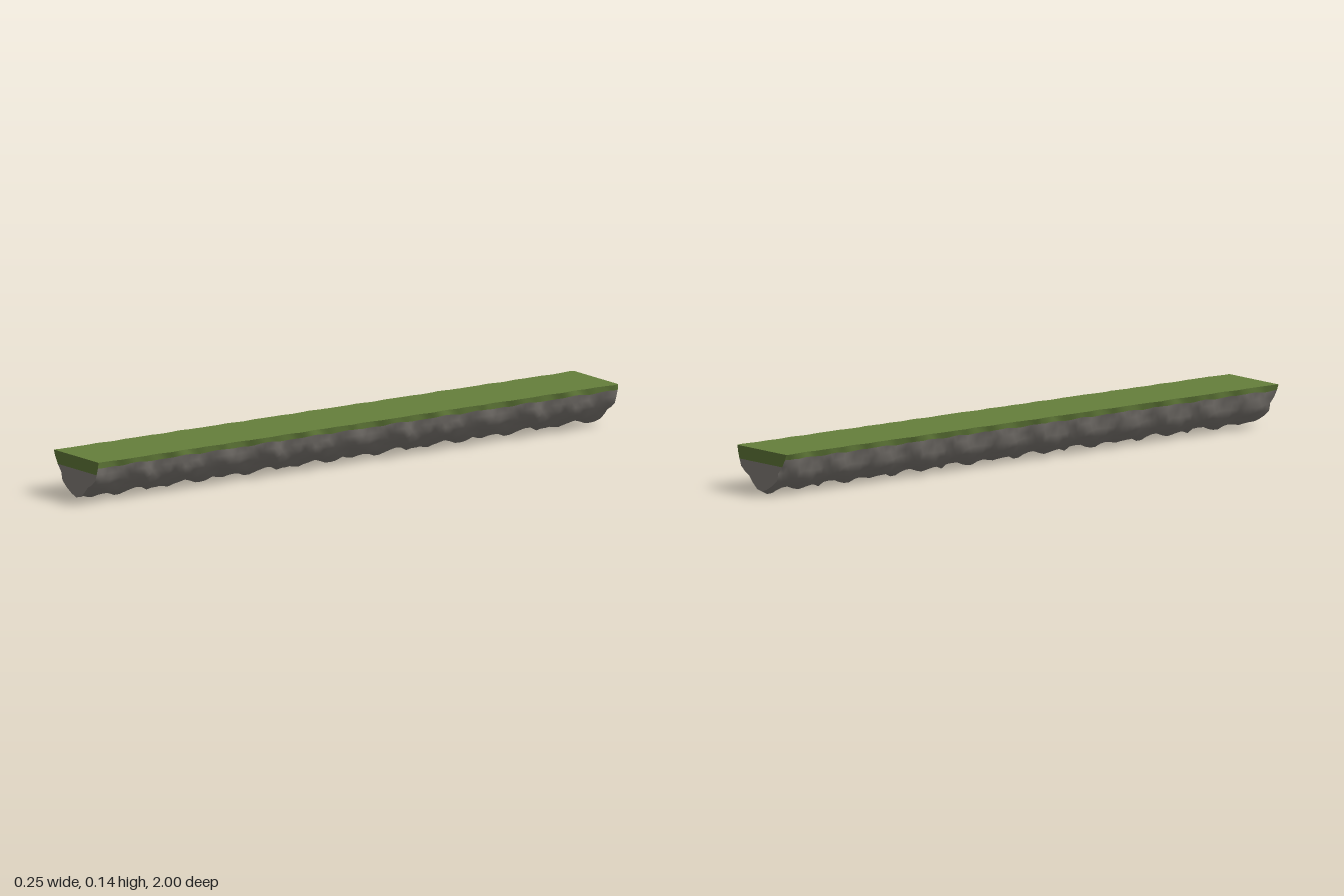
import * as THREE from 'three';

const PERIOD = 24, REPEATS = 4, COLS = PERIOD * REPEATS;
const TOP = 0.145;

// Mean cross-section, from the +x top edge under the keel to the -x top edge
const PROFILE = [
  [0.117, TOP], [0.112, 0.126], [0.101, 0.103], [0.091, 0.083], [0.078, 0.066],
  [0.06, 0.05], [0.04, 0.036], [0.018, 0.02], [-0.006, 0.01], [-0.03, 0.023],
  [-0.056, 0.037], [-0.08, 0.055], [-0.093, 0.077], [-0.107, 0.103], [-0.118, 0.126], [-0.124, TOP],
];
const LAST = PROFILE.length - 1;

// Repeatable value in -1..1
function hash(i, j) {
  const s = Math.sin(i * 127.1 + j * 311.7) * 43758.5453;
  return (s - Math.floor(s)) * 2 - 1;
}

// Rocky bumps that repeat along the strip
function bump(i, j) {
  const k = j % PERIOD, t = (k / PERIOD) * Math.PI * 2;
  const broad = Math.sin(3 * t + i * 0.9) * 0.3 + Math.sin(5 * t - i * 1.7) * 0.3;
  return broad + hash(i, k) * 0.25 + hash(i + 40, Math.floor(k / 2)) * 0.15;
}

function point(i, j) {
  const [x, y] = PROFILE[i];
  const n = bump(i, j), z = -1 + (2 * j) / COLS;
  const edge = Math.min(i, LAST - i);
  if (edge === 0) return [x + Math.sign(x) * n * 0.006, y, z];
  if (edge === 1) return [x + Math.sign(x) * n * 0.005, y + n * 0.005, z];
  if (edge === 2) return [x + Math.sign(x) * n * 0.006, y, z];
  const dx = x, dy = y - 0.12, len = Math.hypot(dx, dy);
  const amp = i === 8 ? 0.015 : 0.011;
  return [x + (dx / len) * n * amp, Math.max(0, y + (dy / len) * n * amp), z];
}

// Smooth skin running the full length through the listed profile rows
function skin(rows) {
  const pos = [], index = [], w = rows.length;
  for (let j = 0; j <= COLS; j++) {
    for (const i of rows) pos.push(...point(i, j));
  }
  for (let j = 0; j < COLS; j++) {
    for (let i = 0; i < w - 1; i++) {
      const a = j * w + i, b = a + 1, c = a + w, d = c + 1;
      index.push(a, c, b, b, c, d);
    }
  }
  const g = new THREE.BufferGeometry();
  g.setAttribute('position', new THREE.Float32BufferAttribute(pos, 3));
  g.setIndex(index);
  g.computeVertexNormals();
  return g;
}

// Flat end face through the listed profile rows
function cap(rows, front) {
  const j = front ? COLS : 0;
  const pts = rows.map((i) => new THREE.Vector2(point(i, j)[0], point(i, j)[1]));
  const g = new THREE.ShapeGeometry(new THREE.Shape(pts));
  if (!front) {
    g.setIndex(Array.from(g.index.array).reverse());
    g.computeVertexNormals();
  }
  return g.translate(0, 0, front ? 1 : -1);
}

export function createModel() {
  const grass = new THREE.MeshStandardMaterial({ color: 0x66803c });
  grass.name = 'grass green';
  const rock = new THREE.MeshStandardMaterial({ color: 0x8a857f });
  rock.name = 'rock grey';

  const model = new THREE.Group();
  model.name = 'floatingGroundStrip';
  const add = (name, geometry, material) => {
    const mesh = new THREE.Mesh(geometry, material);
    mesh.name = name;
    model.add(mesh);
  };

  // Grass surface and the thin lips hanging over both sides
  add('grassTop', skin([LAST, 0]), grass);
  add('grassLipLeft', skin([0, 1]), grass);
  add('grassLipRight', skin([LAST - 1, LAST]), grass);

  // Rocky underside
  const rockRows = [];
  for (let i = 1; i < LAST; i++) rockRows.push(i);
  add('rockUnderside', skin(rockRows), rock);

  // End faces, with a deeper band of turf above the rock
  for (const front of [true, false]) {
    const end = front ? 'Front' : 'Back';
    add('grassEnd' + end, cap([0, 1, 2, LAST - 2, LAST - 1, LAST], front), grass);
    add('rockEnd' + end, cap(rockRows.slice(1, -1), front), rock);
  }
  return model;
}
